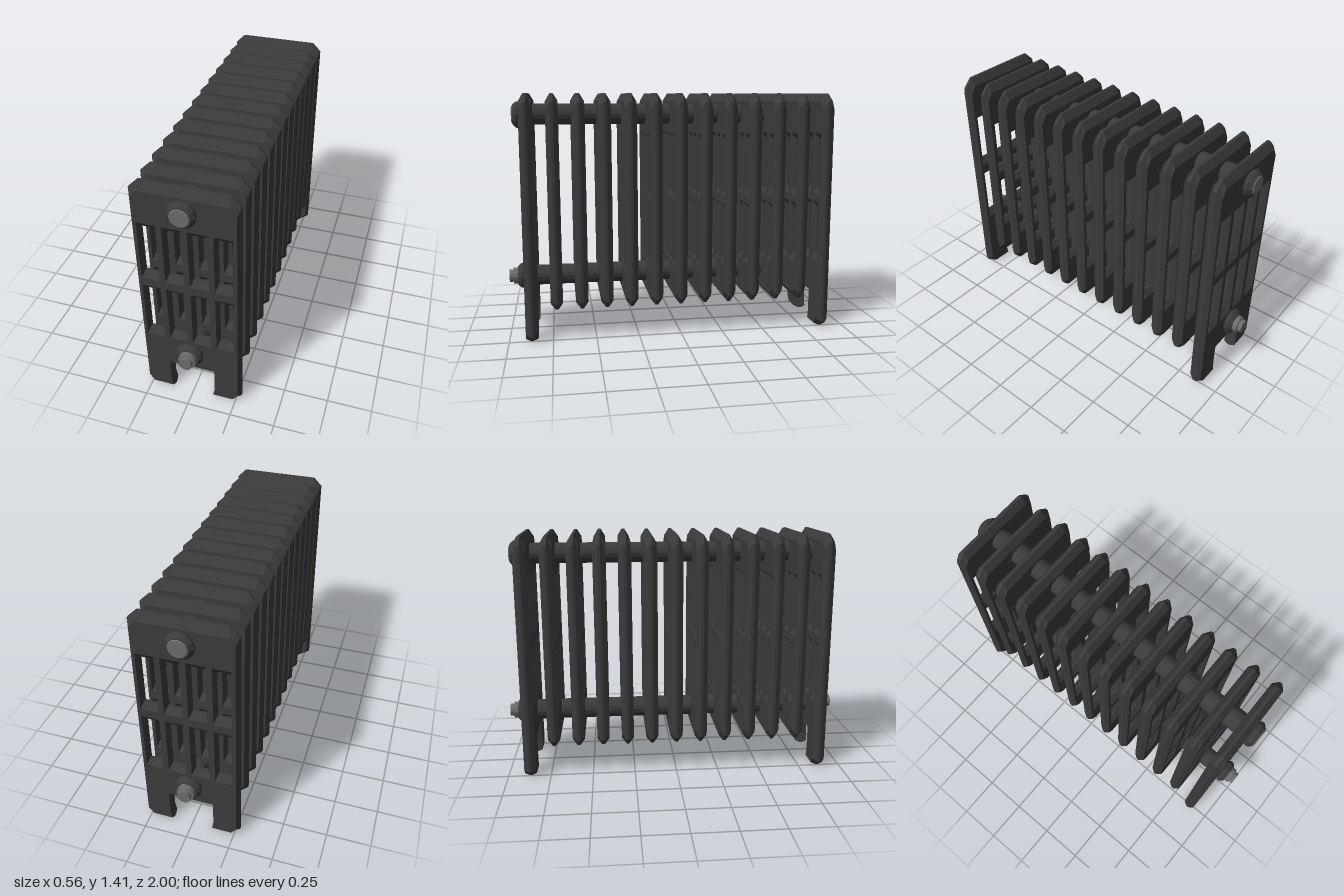
import * as THREE from 'three';

const iron = new THREE.MeshStandardMaterial({ color: 0x3b3b3b, flatShading: true });
iron.name = 'cast iron';
const steel = new THREE.MeshStandardMaterial({ color: 0x6c6c6c, flatShading: true });
steel.name = 'grey steel';

const HALF = 0.035;   // half thickness of a section
const RIDGE = 0.008;  // half thickness at the outer ridge
const END_Z = 0.87;
const COUNT = 13;

// Right half (bottom to top) mirrored into a closed counter-clockwise loop
const mirrored = (half) => [...half, ...half.map(([x, y]) => [-x, y]).reverse()];

// Clockwise rectangle for an opening
const opening = (x0, x1, y0, y1) => [[x0, y0], [x0, y1], [x1, y1], [x1, y0]];

// Windows: narrow at the ridge, wider at the face
const windows = [];
for (const [x0, x1] of [[-0.235, -0.16], [-0.105, -0.027], [0.027, 0.105], [0.16, 0.235]]) {
  for (const [y0, y1] of [[0.44, 0.73], [0.85, 1.14]]) {
    windows.push({
      face: opening(x0 - 0.012, x1 + 0.012, y0 - 0.035, y1 + 0.035),
      ridge: opening(x0, x1, y0, y1),
    });
  }
}

// A section: flat faces with bevels to a ridge around the outline and windows
function sectionGeometry(faceHalf, ridgeHalf) {
  const outline = { face: mirrored(faceHalf), ridge: mirrored(ridgeHalf) };
  const toVectors = (loop) => loop.map(([x, y]) => new THREE.Vector2(x, y));
  const shape = new THREE.Shape(toVectors(outline.face));
  windows.forEach((w) => shape.holes.push(new THREE.Path(toVectors(w.face))));
  const cap = new THREE.ShapeGeometry(shape).toNonIndexed().translate(0, 0, HALF);
  const pos = Array.from(cap.attributes.position.array);

  const skin = (front, zf, back, zb) => {
    for (let i = 0; i < front.length; i++) {
      const j = (i + 1) % front.length;
      const a = [...back[i], zb], b = [...back[j], zb];
      const c = [...front[j], zf], d = [...front[i], zf];
      pos.push(...a, ...b, ...c, ...a, ...c, ...d);
    }
  };
  for (const { face, ridge } of [outline, ...windows]) {
    skin(face, HALF, ridge, RIDGE);
    skin(ridge, RIDGE, ridge, 0);
  }

  // Half turn gives the rear side
  const all = pos.concat(pos.map((v, i) => (i % 3 === 1 ? v : -v)));
  const geo = new THREE.BufferGeometry();
  geo.setAttribute('position', new THREE.Float32BufferAttribute(all, 3));
  geo.computeVertexNormals();
  return geo;
}

// Turned part along z
function turned(points, segments = 12) {
  const profile = points.map(([r, z]) => new THREE.Vector2(r, z));
  return new THREE.LatheGeometry(profile, segments).rotateX(Math.PI / 2);
}

export function createModel() {
  const model = new THREE.Group();
  model.name = 'radiator';
  const add = (name, geo, mat, parent = model) => {
    const mesh = new THREE.Mesh(geo, mat);
    mesh.name = name;
    parent.add(mesh);
    return mesh;
  };

  // Sections
  const faceTop = [[0.265, 1.32], [0.235, 1.365]];
  const ridgeTop = [[0.28, 1.36], [0.23, 1.41]];
  const middle = sectionGeometry(
    [[0.235, 0.215], [0.265, 0.25], ...faceTop],
    [[0.24, 0.18], [0.28, 0.22], ...ridgeTop]
  );
  const legged = sectionGeometry(
    [[0.13, 0.21], [0.13, 0.06], [0.12, 0.01], [0.235, 0.01], [0.265, 0.05], ...faceTop],
    [[0.13, 0.18], [0.13, 0.06], [0.115, 0], [0.24, 0], [0.28, 0.03], ...ridgeTop]
  );
  for (let i = 0; i < COUNT; i++) {
    const isEnd = i === 0 || i === COUNT - 1;
    const mesh = add(isEnd ? 'leggedSection' : 'section', isEnd ? legged : middle, iron);
    mesh.position.z = END_Z - (i * 2 * END_Z) / (COUNT - 1);
  }

  // Connecting pipes
  const pipe = new THREE.CylinderGeometry(0.06, 0.06, 2 * END_Z, 16).rotateX(Math.PI / 2);
  add('upperPipe', pipe, iron).position.y = 1.29;
  add('lowerPipe', pipe, iron).position.y = 0.33;

  // Collars, plugs and valve fittings at both ends
  const collar = turned([[0.06, 0.9], [0.076, 0.915], [0.076, 0.93], [0.058, 0.95], [0, 0.95]]);
  const plug = turned([[0.053, 0.945], [0.053, 0.952], [0.048, 0.956], [0, 0.956]]);
  const valve = turned([[0.05, 0.945], [0.05, 0.976], [0.038, 0.978], [0.038, 1], [0, 1]]);
  for (const turn of [0, Math.PI]) {
    const fittings = new THREE.Group();
    fittings.name = turn ? 'backFittings' : 'frontFittings';
    fittings.rotation.y = turn;
    add('upperCollar', collar, iron, fittings).position.y = 1.288;
    add('upperPlug', plug, steel, fittings).position.y = 1.288;
    add('lowerCollar', collar, iron, fittings).position.y = 0.33;
    add('lowerValve', valve, steel, fittings).position.y = 0.33;
    model.add(fittings);
  }
  return model;
}
